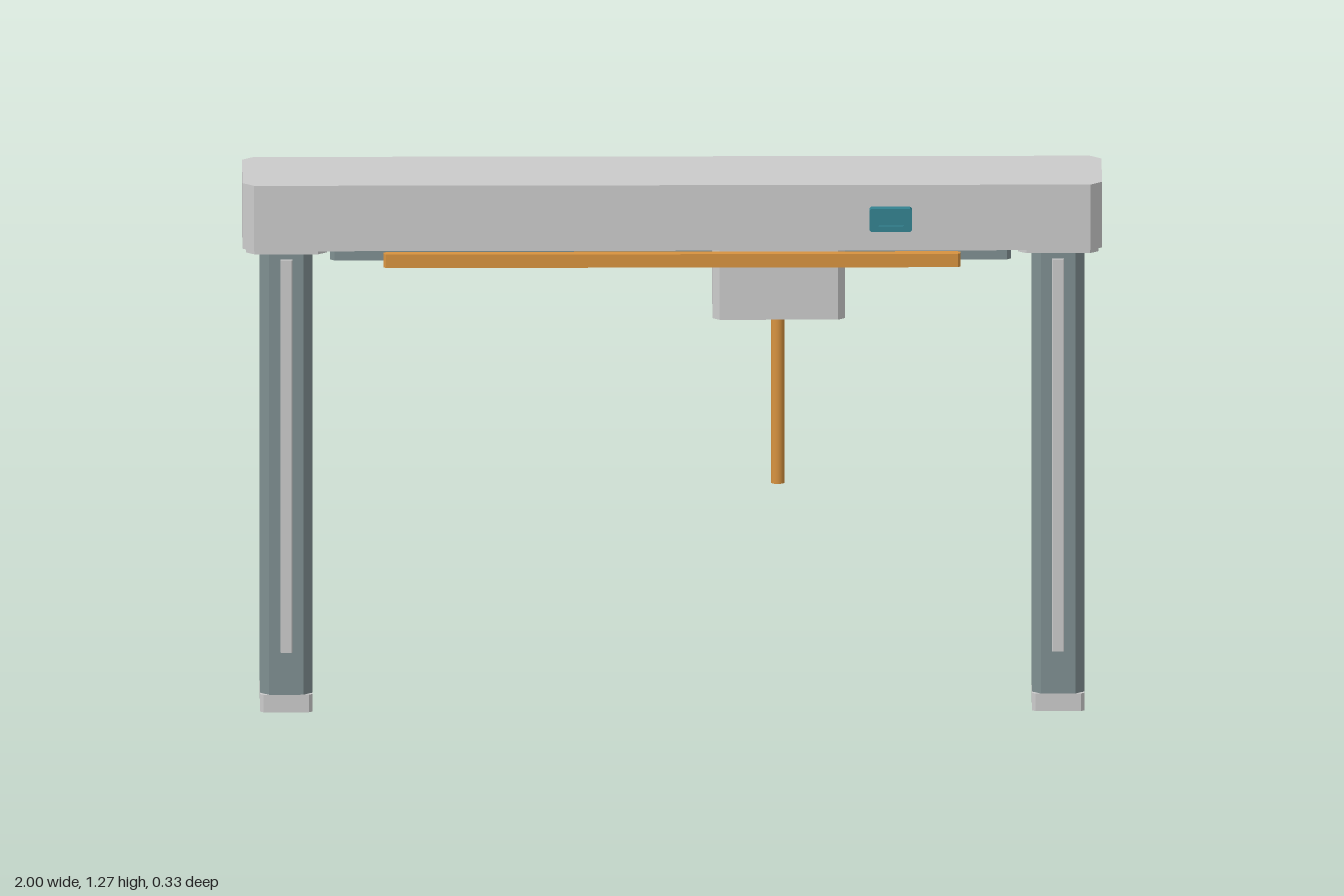
import * as THREE from 'three';

const mat = (color) => new THREE.MeshStandardMaterial({ color, flatShading: true });
const GREY = mat(0xcccccc);
const SLATE = mat(0x7f8f91);
const ORANGE = mat(0xd8933f);
const TEAL = mat(0x338290);

// Rectangle centred on the origin with cut corners
function cutRect(w, h, c) {
  const x = w / 2, y = h / 2;
  return new THREE.Shape([
    [-x + c, -y], [x - c, -y], [x, -y + c], [x, y - c],
    [x - c, y], [-x + c, y], [-x, y - c], [-x, -y + c],
  ].map(([a, b]) => new THREE.Vector2(a, b)));
}

// Upright block with chamfered vertical edges, given by its extents
function block(name, [x0, x1], [y0, y1], [z0, z1], chamfer, material) {
  const geo = new THREE.ExtrudeGeometry(cutRect(x1 - x0, z1 - z0, chamfer), { depth: y1 - y0, bevelEnabled: false });
  geo.rotateX(-Math.PI / 2);
  geo.translate((x0 + x1) / 2, y0, (z0 + z1) / 2);
  const mesh = new THREE.Mesh(geo, material);
  mesh.name = name;
  return mesh;
}

function createLeg(side) {
  const leg = new THREE.Group();
  leg.name = side > 0 ? 'leftLeg' : 'rightLeg';
  leg.add(
    block('foot', [-0.061, 0.061], [0, 0.042], [-0.098, 0.1], 0.008, GREY),
    block('post', [-0.061, 0.061], [0.042, 1.105], [-0.098, 0.1], 0.021, SLATE),
    block('capPlate', [-0.094, 0.094], [1.105, 1.115], [-0.126, 0.132], 0.02, GREY),
  );
  // Thin strips on the front and back faces
  for (const [z0, z1] of [[0.095, 0.11], [-0.103, -0.09]]) {
    leg.add(block('legStrip', [-0.014, 0.014], [0.145, 1.085], [z0, z1], 0.002, GREY));
  }
  leg.position.x = side * 0.898;
  return leg;
}

function createDisplay() {
  const display = new THREE.Group();
  display.name = 'controlPanel';
  // Frame with a recessed screen
  const outline = cutRect(0.098, 0.056, 0.004);
  outline.holes.push(new THREE.Path(cutRect(0.06, 0.028, 0.002).getPoints().reverse()));
  const frame = new THREE.Mesh(new THREE.ExtrudeGeometry(outline, { depth: 0.025, bevelEnabled: false }), TEAL);
  frame.name = 'panelFrame';
  const screen = new THREE.Mesh(new THREE.BoxGeometry(0.062, 0.03, 0.018), TEAL);
  screen.name = 'panelScreen';
  screen.position.z = 0.009;
  display.add(frame, screen);
  display.position.set(0.508, 1.192, 0.14);
  return display;
}

export function createModel() {
  const model = new THREE.Group();
  model.name = 'gantry';

  model.add(block('beam', [-1, 1], [1.115, 1.272], [-0.139, 0.143], 0.027, GREY));
  for (const side of [-1, 1]) model.add(createLeg(side));

  // Guide rails in front of and behind the beam
  model.add(
    block('frontRail', [-0.672, 0.67], [1.08, 1.112], [0.139, 0.165], 0.006, ORANGE),
    block('rearRail', [-0.795, 0.79], [1.028, 1.069], [-0.163, -0.122], 0.01, SLATE),
  );

  // Carriage with its hanging rod
  model.add(block('carriage', [0.094, 0.402], [0.94, 1.115], [-0.103, 0.105], 0.016, GREY));
  const rod = new THREE.Mesh(
    new THREE.CylinderGeometry(0.016, 0.016, 0.425, 16),
    new THREE.MeshStandardMaterial({ color: 0xd8933f }),
  );
  rod.name = 'rod';
  rod.position.set(0.246, 0.7375, 0.002);
  model.add(rod);

  model.add(createDisplay());
  return model;
}
